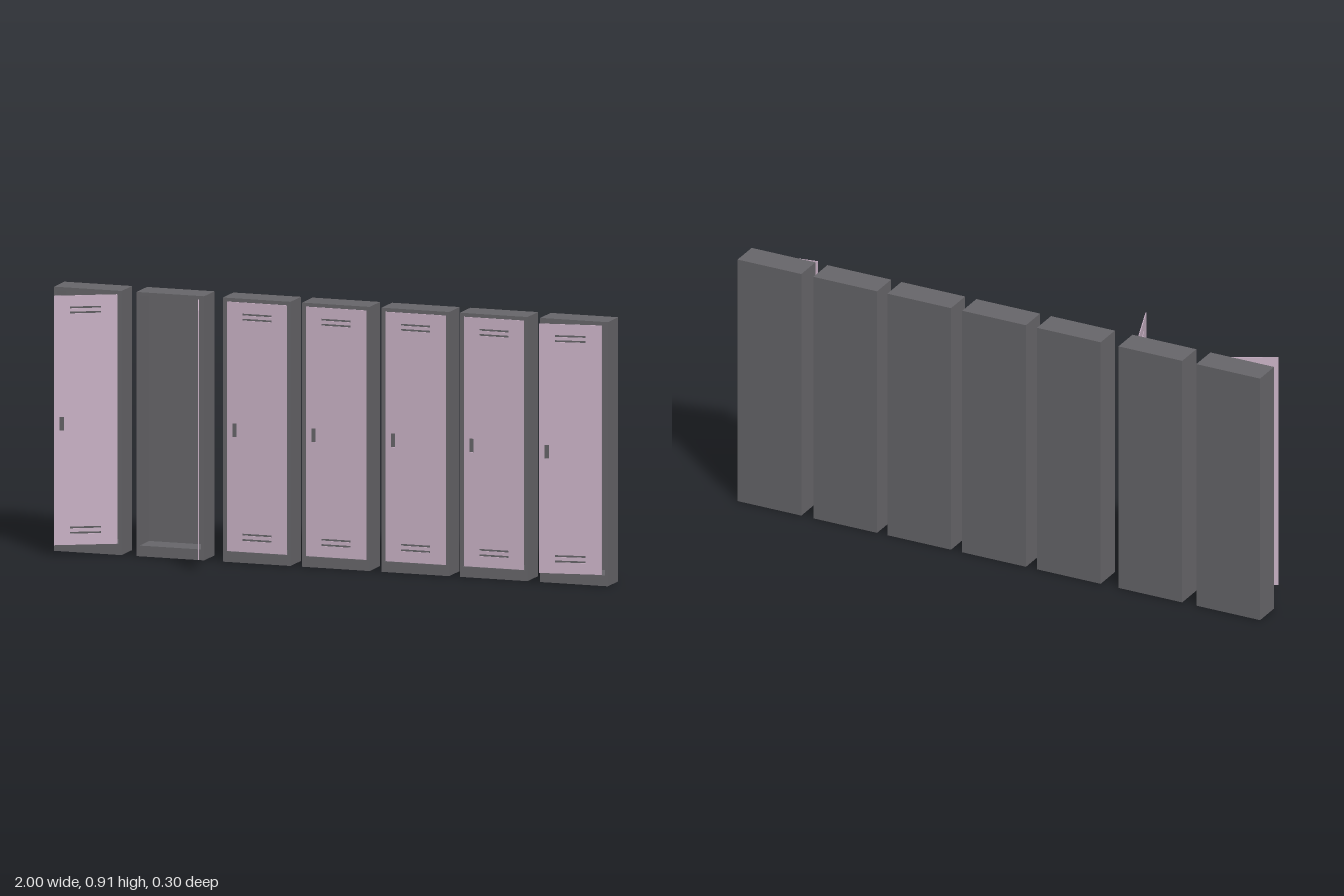
import * as THREE from 'three';

const W = 0.244, H = 0.91, BACK = -0.15, FRONT = -0.047;
const SIDE = 0.011, FLOOR = 0.037, CEIL = 0.898;
const DOOR_W = 0.217, DOOR_Y0 = 0.038, DOOR_Y1 = 0.897, DOOR_T = 0.003;

// left edge, hinge inset from the right edge, hinge z, opening angle in degrees
const LOCKERS = [
  [-1, 0.017, -0.05, 28],
  [-0.702, 0.022, -0.053, 110],
  [-0.39, 0.0125, -0.0465, 0],
  [-0.104, 0.0125, -0.0465, 0],
  [0.183, 0.0125, -0.0465, 0],
  [0.466, 0.0125, -0.0465, 0],
  [0.756, 0.022, -0.048, 9.5],
];

function rectPath(Type, x0, y0, x1, y1) {
  const p = new Type();
  p.moveTo(x0, y0);
  p.lineTo(x1, y0);
  p.lineTo(x1, y1);
  p.lineTo(x0, y1);
  p.closePath();
  return p;
}

// Door panel: hinge on x = 0, free edge towards -x, with vents and a handle slot cut out
function doorGeometry() {
  const shape = rectPath(THREE.Shape, -DOOR_W, DOOR_Y0, 0, DOOR_Y1);
  const mid = -DOOR_W / 2;
  for (const y of [0.076, 0.0945, 0.835, 0.8525]) {
    shape.holes.push(rectPath(THREE.Path, mid - 0.053, y, mid + 0.053, y + 0.0065));
  }
  shape.holes.push(rectPath(THREE.Path, -DOOR_W + 0.019, 0.432, -DOOR_W + 0.035, 0.479));
  const geo = new THREE.ExtrudeGeometry(shape, { depth: DOOR_T, bevelEnabled: false });
  geo.translate(0, 0, -DOOR_T / 2);
  return geo;
}

// Open-fronted case: extruded frame with a closed back
function caseGeometries() {
  const shape = rectPath(THREE.Shape, 0, 0, W, H);
  shape.holes.push(rectPath(THREE.Path, SIDE, FLOOR, W - SIDE, CEIL));
  const frame = new THREE.ExtrudeGeometry(shape, { depth: FRONT - BACK, bevelEnabled: false });
  frame.translate(0, 0, BACK);
  const back = new THREE.BoxGeometry(W - 2 * SIDE, CEIL - FLOOR, 0.008);
  back.translate(W / 2, (CEIL + FLOOR) / 2, BACK + 0.004);
  return { frame, back };
}

export function createModel() {
  const model = new THREE.Group();
  model.name = 'lockerRow';
  const caseMat = new THREE.MeshStandardMaterial({ color: 0x68676b });
  caseMat.name = 'dark grey metal';
  const doorMat = new THREE.MeshStandardMaterial({ color: 0xcbb3c7 });
  doorMat.name = 'pale mauve paint';

  const { frame, back } = caseGeometries();
  const doorGeo = doorGeometry();
  const add = (parent, name, geo, mat) => {
    const mesh = new THREE.Mesh(geo, mat);
    mesh.name = name;
    parent.add(mesh);
    return mesh;
  };

  LOCKERS.forEach(([x, inset, z, angle], i) => {
    const locker = new THREE.Group();
    locker.name = `locker${i + 1}`;
    locker.position.x = x;
    add(locker, 'caseFrame', frame, caseMat);
    add(locker, 'caseBack', back, caseMat);
    const door = add(locker, 'door', doorGeo, doorMat);
    door.position.set(W - inset, 0, z);
    door.rotation.y = THREE.MathUtils.degToRad(angle);
    model.add(locker);
  });
  return model;
}
